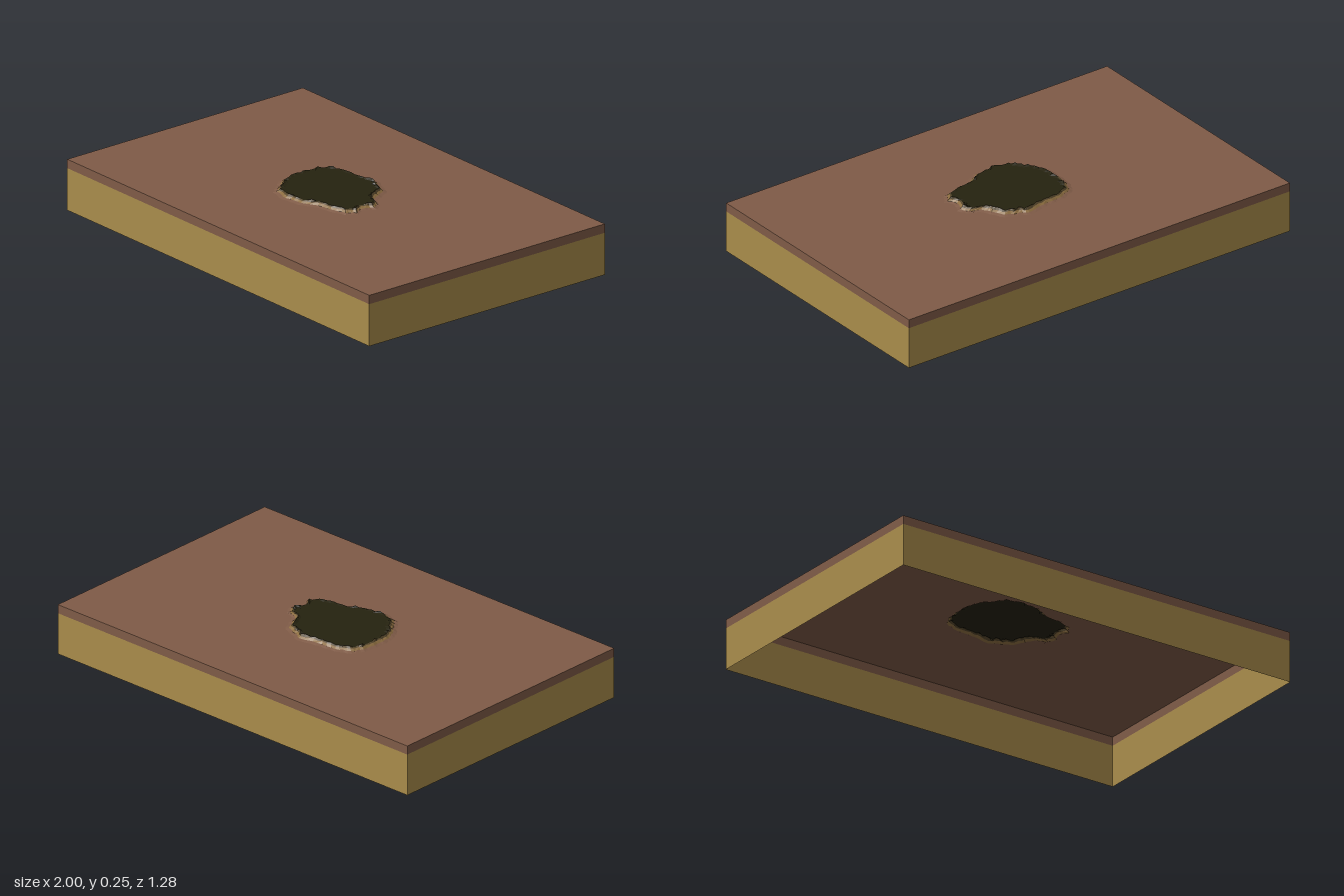
import * as THREE from 'three';

const material = (name, color) => {
  const m = new THREE.MeshStandardMaterial({ color, side: THREE.DoubleSide });
  m.name = name;
  return m;
};

// Faceted band of quads between two closed rings, counterclockwise from above.
function band(name, lower, upper, mat) {
  const pos = [];
  lower.forEach((a, i) => {
    const j = (i + 1) % lower.length;
    for (const p of [a, lower[j], upper[j], a, upper[j], upper[i]]) pos.push(...p);
  });
  const geo = new THREE.BufferGeometry();
  geo.setAttribute('position', new THREE.Float32BufferAttribute(pos, 3));
  geo.computeVertexNormals();
  const mesh = new THREE.Mesh(geo, mat);
  mesh.name = name;
  return mesh;
}

export function createModel() {
  const group = new THREE.Group();
  group.name = 'slabWithPit';
  const brown = material('brown soil', 0x7f5b47);
  const tan = material('tan side', 0xa98c4b);
  const rimTan = material('rim tan', 0x8c6d40);
  const rimDark = material('rim olive', 0x54452a);
  const dark = material('dark pit', 0x25220f);

  let seed = 7;
  const rand = () => (seed = (seed * 16807) % 2147483647) / 2147483647;

  // Open-bottomed box walls
  const rect = (y) => [[-1, y, 0.64], [1, y, 0.64], [1, y, -0.64], [-1, y, -0.64]];
  group.add(band('sideWalls', rect(0), rect(0.19), tan));
  group.add(band('soilEdge', rect(0.19), rect(0.23), brown));

  // Outline of the dark patch, as x and z
  const outline = [
    [-0.235, -0.01], [-0.23, 0.05], [-0.21, 0.10], [-0.175, 0.14], [-0.14, 0.185],
    [-0.065, 0.2], [0.015, 0.185], [0.075, 0.15], [0.14, 0.14], [0.205, 0.12],
    [0.232, 0.085], [0.21, 0.04], [0.232, 0.0], [0.217, -0.035], [0.165, -0.05],
    [0.145, -0.09], [0.12, -0.14], [0.075, -0.155], [0.03, -0.175], [-0.05, -0.16],
    [-0.14, -0.155], [-0.2, -0.13], [-0.225, -0.085],
  ];
  // Subdivide each edge and jitter it so the rim looks broken
  const crest = [];
  outline.forEach(([x, z], i) => {
    const [x2, z2] = outline[(i + 1) % outline.length];
    for (let k = 0; k < 4; k++) {
      const t = k / 4, s = 1 + (rand() - 0.5) * 0.04;
      crest.push([(x + (x2 - x) * t) * s, 0.243 + rand() * 0.01, (z + (z2 - z) * t) * s]);
    }
  });
  const grow = (d, y, jitter) => crest.map(([x, , z]) => {
    const r = Math.hypot(x, z), s = (r + d) / r;
    return [x * s, y + (rand() - 0.5) * jitter, z * s];
  });
  const foot = grow(0.032, 0.23, 0);
  const slope = grow(0.016, 0.234, 0.003);
  const shoulder = grow(0.007, 0.242, 0.004);

  // Top sheet with the pit opening
  const shape = new THREE.Shape(rect(0).map(([x, , z]) => new THREE.Vector2(x, -z)));
  shape.holes.push(new THREE.Path(foot.map(([x, , z]) => new THREE.Vector2(x, -z))));
  const top = new THREE.Mesh(new THREE.ShapeGeometry(shape).rotateX(-Math.PI / 2).translate(0, 0.23, 0), brown);
  top.name = 'topSurface';
  group.add(top);

  // Raised rim and dark centre
  group.add(band('rimFoot', foot, slope, brown));
  group.add(band('rimSlope', slope, shoulder, rimTan));
  group.add(band('rimCrest', shoulder, crest, rimDark));
  const inner = crest.map(([x, , z]) => [x * 0.93, 0.245, z * 0.93]);
  group.add(band('pitEdge', crest, inner, dark));
  group.add(band('pitFloor', inner, inner.map(() => [0, 0.245, 0]), dark));
  return group;
}
